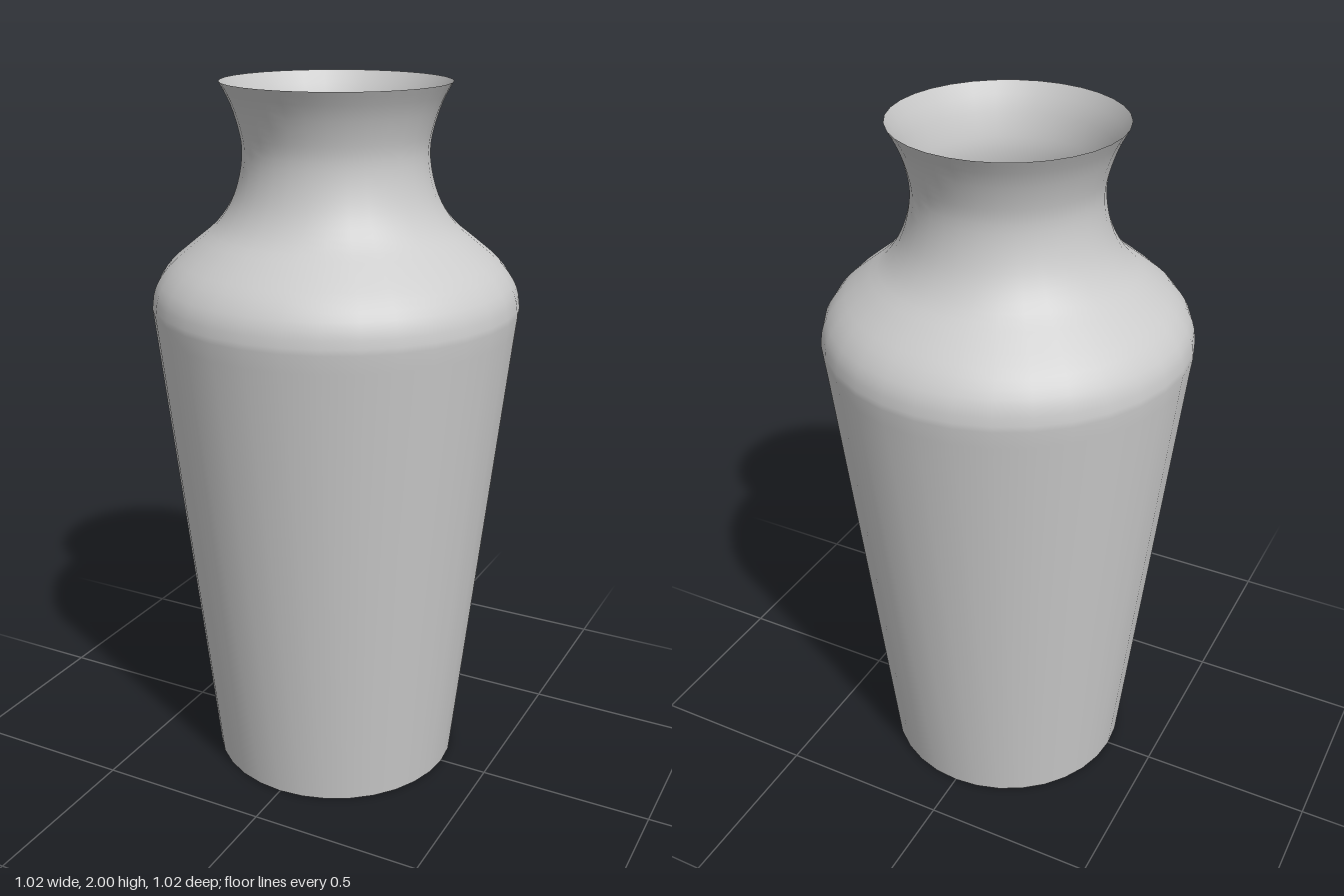
import * as THREE from 'three';

const SIDES = 32;

export function createModel() {
  const vase = new THREE.Group();
  vase.name = 'vase';
  const material = new THREE.MeshStandardMaterial({ color: 0xcccccc, side: THREE.DoubleSide });

  // Shoulder, neck and flared lip as one smooth curve of (radius, height)
  const upper = new THREE.SplineCurve([
    [0.511, 1.39], [0.5, 1.45], [0.46, 1.51], [0.39, 1.57], [0.33, 1.62], [0.288, 1.68],
    [0.263, 1.75], [0.254, 1.82], [0.263, 1.88], [0.284, 1.945], [0.312, 2],
  ].map(([r, y]) => new THREE.Vector2(r, y)));

  // Thin open wall: straight tapered body, then the curve
  const profile = [
    new THREE.Vector2(0.36, 0),
    new THREE.Vector2(0.505, 1.34),
    ...upper.getPoints(30),
  ];
  const wall = new THREE.Mesh(new THREE.LatheGeometry(profile, SIDES), material);
  wall.name = 'wall';
  vase.add(wall);

  // Flat base, facing down and also seen through the mouth
  const base = new THREE.Mesh(new THREE.CircleGeometry(0.36, SIDES).rotateX(Math.PI / 2), material);
  base.name = 'base';
  vase.add(base);

  return vase;
}
